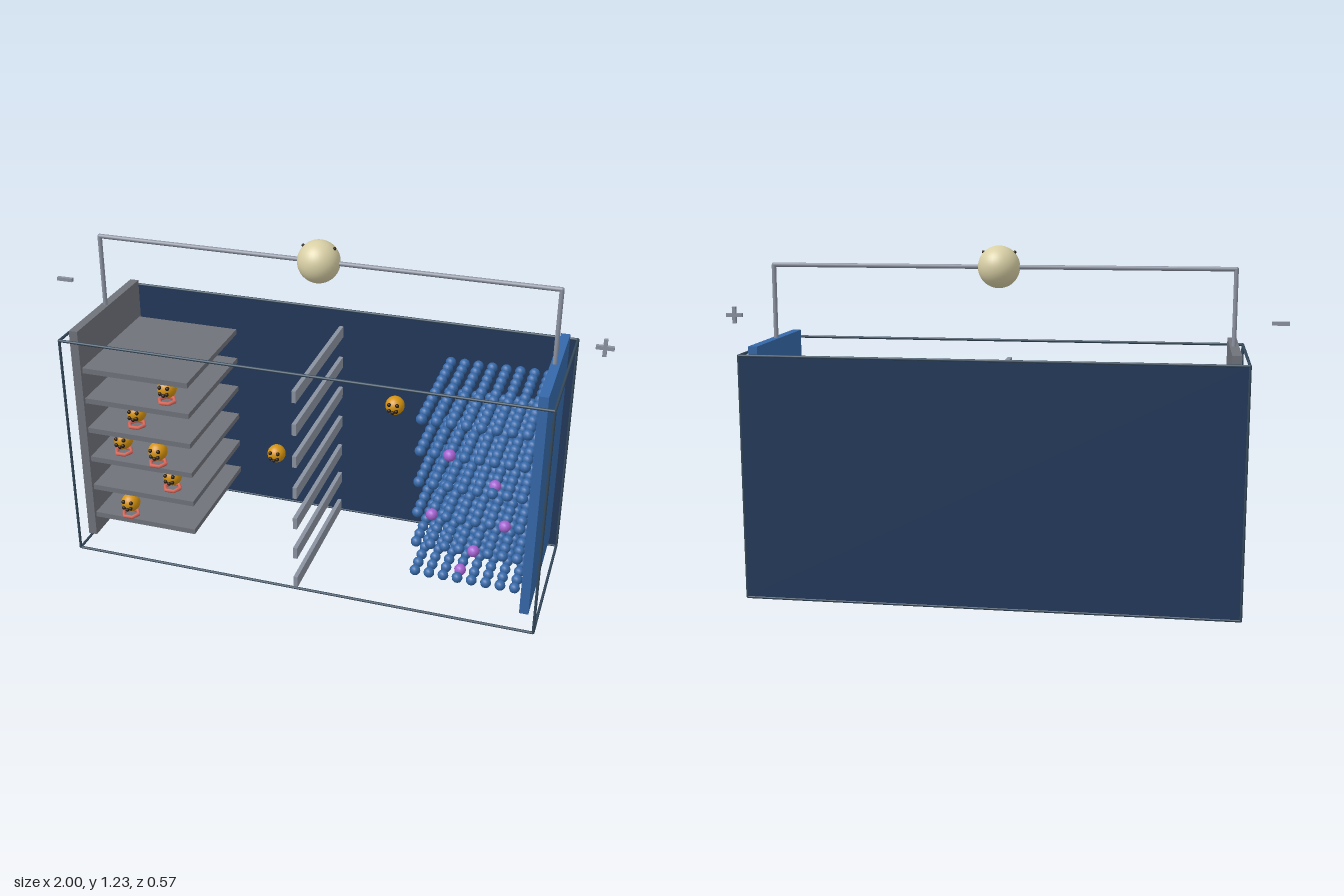
import * as THREE from 'three';

export function createModel() {
  const model = new THREE.Group();
  model.name = 'batteryCell';
  const mat = (name, color) => Object.assign(new THREE.MeshStandardMaterial({ color }), { name });
  const navy = mat('navy panel', 0x22385a);
  const slate = mat('slate frame', 0x34485a);
  const blue = mat('cathode blue', 0x3568a8);
  const grey = mat('graphite grey', 0x6f727a);
  const steel = mat('light steel', 0x8b92a0);
  const cream = mat('lamp cream', 0xd8cfa5);
  const gold = mat('ion gold', 0xd4920f);
  const purple = mat('purple', 0xa462d0);
  const red = mat('seat red', 0xd8685a);
  const dark = mat('dark brown', 0x2a1c10);

  const add = (name, geometry, material, x = 0, y = 0, z = 0, parent = model) => {
    const mesh = new THREE.Mesh(geometry, material);
    mesh.name = name;
    mesh.position.set(x, y, z);
    parent.add(mesh);
    return mesh;
  };
  const box = (name, w, h, d, m, x, y, z) => add(name, new THREE.BoxGeometry(w, h, d), m, x, y, z);
  const rod = (name, a, b, r, m) => {
    const p = new THREE.Vector3(...a), q = new THREE.Vector3(...b);
    const dir = q.clone().sub(p);
    const mesh = add(name, new THREE.CylinderGeometry(r, r, dir.length(), 10), m);
    mesh.position.copy(p).add(q).multiplyScalar(0.5);
    mesh.quaternion.setFromUnitVectors(new THREE.Vector3(0, 1, 0), dir.normalize());
  };

  // Back panel and thin outline of the case
  const X = 0.858, Z = 0.278, Y0 = 0.006, Y1 = 0.866;
  box('backPanel', 1.72, 0.86, 0.006, navy, 0, 0.436, -Z);
  for (const y of [Y0, Y1]) {
    for (const z of [-Z, Z]) rod('frameEdgeLong', [-X, y, z], [X, y, z], 0.005, slate);
    for (const x of [-X, X]) rod('frameEdgeShort', [x, y, -Z], [x, y, Z], 0.005, slate);
  }
  for (const x of [-X, X])
    for (const z of [-Z, Z]) rod('frameUpright', [x, Y0, z], [x, Y1, z], 0.005, slate);

  // End plates
  box('anodePlate', 0.032, 0.838, 0.5, grey, -0.817, 0.476, 0);
  box('cathodePlate', 0.032, 0.838, 0.5, blue, 0.817, 0.476, 0);

  // Slatted separator in the middle
  for (let i = 0; i < 7; i++) box('separatorSlat', 0.015, 0.044, 0.556, steel, 0, 0.03 + i * 0.125, 0);

  // Anode shelves and the matching layers of cathode atoms
  const layers = [0.14, 0.26, 0.38, 0.5, 0.62, 0.74];
  const atom = new THREE.SphereGeometry(0.019, 12, 8);
  const special = ['4,2,9', '2,1,9', '2,6,9', '1,4,9', '3,5,8', '0,3,8'];
  layers.forEach((y, layer) => {
    box('anodeShelf', 0.4, 0.02, 0.476, grey, -0.602, y, 0);
    for (let i = 0; i < 8; i++) {
      for (let j = 0; j < 10; j++) {
        const marked = special.includes(`${layer},${i},${j}`);
        const ball = add(marked ? 'markedAtom' : 'cathodeAtom', atom, marked ? purple : blue,
          0.425 + i * 0.05, y, -0.225 + j * 0.05);
        if (marked) ball.scale.setScalar(1.1);
      }
    }
  });

  // Ions: gold balls with a dark face, some sitting on ring seats
  const body = new THREE.SphereGeometry(0.035, 20, 14);
  const spot = new THREE.SphereGeometry(0.0075, 10, 8);
  const ring = new THREE.TorusGeometry(0.03, 0.007, 6, 6);
  const ion = (x, y, z, seated) => {
    const g = new THREE.Group();
    g.name = 'ion';
    g.position.set(x, y, z);
    add('ionBody', body, gold, 0, 0, 0, g);
    for (const [px, py] of [[-0.015, 0.014], [0.015, 0.014], [-0.013, -0.008], [0, -0.014], [0.013, -0.008]])
      add('ionFace', spot, dark, px, py, Math.sqrt(0.036 ** 2 - px * px - py * py), g);
    if (seated) add('ionSeat', ring, red, 0, -0.046, 0.005, g).rotation.x = Math.PI / 2;
    model.add(g);
  };
  for (const [x, layer, z] of [[-0.507, 4, 0.177], [-0.635, 3, 0.172], [-0.695, 2, 0.175],
    [-0.54, 2, 0.215], [-0.507, 1, 0.177], [-0.665, 0, 0.215]])
    ion(x, layers[layer] + 0.066, z, true);
  ion(-0.215, 0.297, -0.142, false);
  ion(0.25, 0.59, -0.12, false);

  // Outer circuit with lamp and two terminals
  const top = 1.158;
  for (const s of [-1, 1]) {
    rod('wireUpright', [s * 0.815, 0.88, 0], [s * 0.815, top, 0], 0.008, steel);
    add('wireElbow', new THREE.SphereGeometry(0.008, 10, 8), steel, s * 0.815, top, 0);
    add('lampTerminal', new THREE.SphereGeometry(0.006, 10, 8), dark, s * 0.055, top + 0.051, 0);
  }
  rod('wireSpan', [-0.815, top, 0], [0.815, top, 0], 0.008, steel);
  add('lamp', new THREE.SphereGeometry(0.074, 32, 24), cream, 0, top, 0);

  // Polarity signs
  for (const s of [-1, 1]) box('signBar', 0.06, 0.013, 0.013, steel, s * 0.97, 0.975, 0);
  box('signUpright', 0.013, 0.06, 0.013, steel, 0.97, 0.975, 0);

  return model;
}
